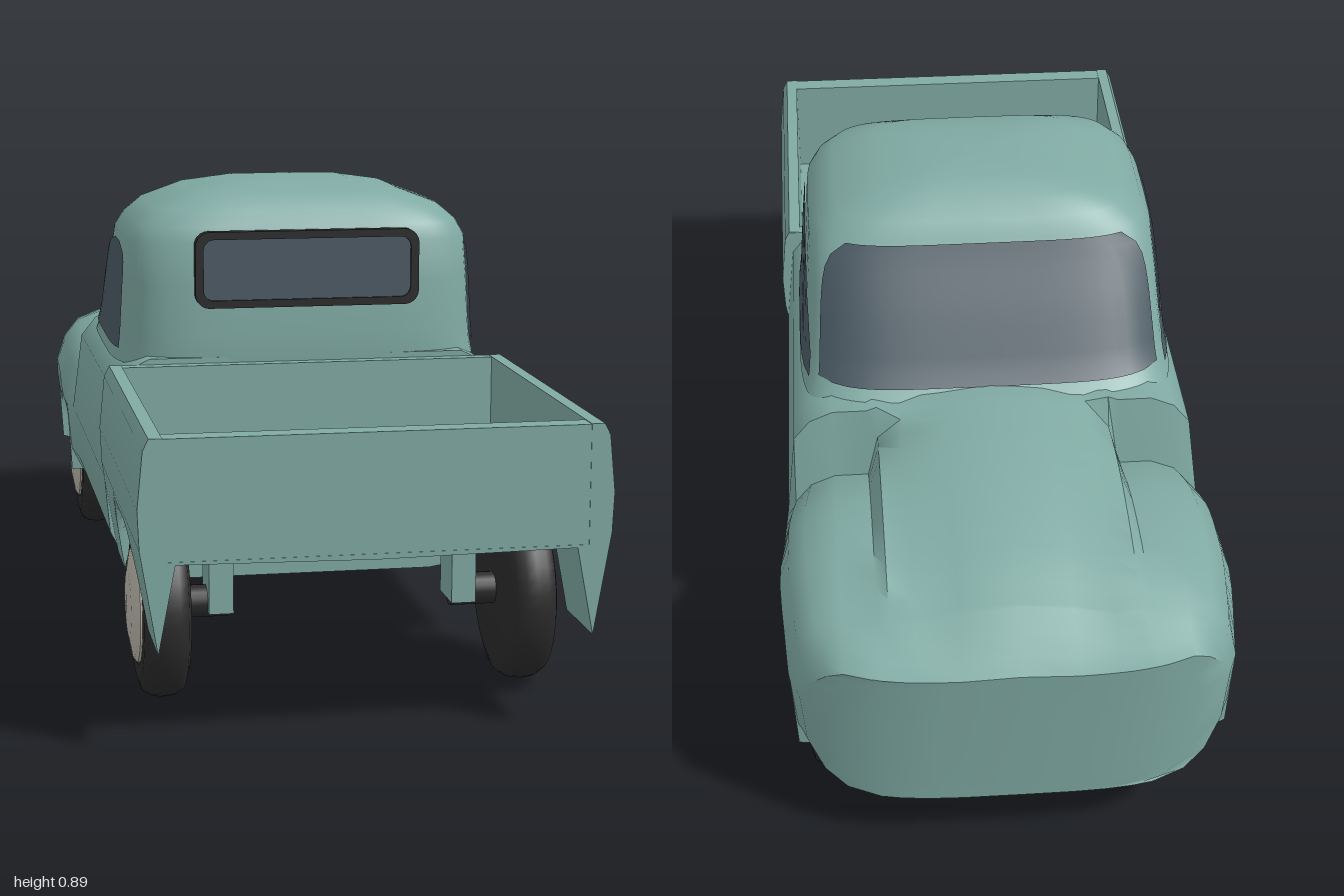
import * as THREE from 'three';
import { toCreasedNormals } from 'three/addons/utils/BufferGeometryUtils.js';

const mat = (name, color, side = THREE.FrontSide) =>
  Object.assign(new THREE.MeshStandardMaterial({ color, side }), { name });

// piecewise linear lookup in rows of [t, ...values], t ascending
function lookup(rows, t) {
  let i = 1;
  while (i < rows.length - 1 && rows[i][0] < t) i++;
  const [a, b] = [rows[i - 1], rows[i]];
  const k = THREE.MathUtils.clamp((t - a[0]) / (b[0] - a[0]), 0, 1);
  return a.slice(1).map((v, j) => v + (b[j + 1] - v) * k);
}

// skin over rows of [x, y, z] points; optional flat caps on first and last ring (in xy)
function skin(rows, { closed = true, capStart = false, capEnd = false, crease = 0.6 } = {}) {
  const n = rows[0].length, index = [];
  for (let i = 0; i < rows.length - 1; i++)
    for (let j = 0; j < (closed ? n : n - 1); j++) {
      const a = i * n + j, b = i * n + ((j + 1) % n);
      index.push(a, b, a + n, b, b + n, a + n);
    }
  const cap = (r, sign) => {
    const p = rows[r].map(([x, y]) => new THREE.Vector2(x, y));
    for (const [a, b, c] of THREE.ShapeUtils.triangulateShape(p, [])) {
      const ccw = THREE.ShapeUtils.area([p[a], p[b], p[c]]) * sign > 0;
      index.push(...(ccw ? [a, b, c] : [a, c, b]).map((v) => v + r * n));
    }
  };
  if (capStart) cap(0, 1);
  if (capEnd) cap(rows.length - 1, -1);
  const g = new THREE.BufferGeometry();
  g.setAttribute('position', new THREE.Float32BufferAttribute(rows.flat(2), 3));
  g.setIndex(index);
  return toCreasedNormals(g, crease);
}

// full ring from a half outline that starts and ends on the centre line
const mirrorRing = (half) =>
  [...half, ...half.slice(1, -1).reverse().map(([x, y, z]) => [-x, y, z])];

const range = (n, f) => Array.from({ length: n + 1 }, (_, i) => f(i / n));
const FRONT_AXLE = -0.68, REAR_AXLE = 0.645, ARCH = 0.2, AXLE_Y = 0.17;
const archY = (d) => AXLE_Y + Math.sqrt(Math.max(0, ARCH * ARCH - d * d));

// hood height, fender height and half width against distance forward (-z)
const HOOD = [[-0.31, 0.56], [0.2, 0.56], [0.3, 0.575], [0.37, 0.59], [0.5, 0.585], [0.6, 0.574],
  [0.7, 0.555], [0.8, 0.53], [0.88, 0.5], [0.95, 0.465], [1, 0.44]];
const FENDER = [[-0.31, 0.56], [0.365, 0.56], [0.39, 0.425], [0.45, 0.455], [0.52, 0.48],
  [0.6, 0.495], [0.7, 0.5], [0.8, 0.49], [0.9, 0.465], [1, 0.435]];
const WIDTH = [[-0.31, 0.4], [0.37, 0.405], [0.55, 0.42], [0.7, 0.42], [0.9, 0.405], [1, 0.39]];

function bodySection(z, inArch, squeeze = 1) {
  const [H] = lookup(HOOD, -z), [F] = lookup(FENDER, -z), [W] = lookup(WIDTH, -z);
  const yb = archY(z - FRONT_AXLE);
  const half = [[0, H], [0.1, Math.max(F, H - 0.01)], [0.18, Math.max(F, H - 0.035)],
    [0.225, Math.max(F, H * 0.6 + F * 0.4 - 0.01)], [0.245, F], [0.31, F],
    [W - 0.05, F - 0.02], [W - 0.018, F - 0.06],
    ...(inArch
      ? [[W, Math.max(0.33, yb + 0.02)], [W - 0.01, yb], [0.28, yb], [0.27, 0.14]]
      : [[W, 0.33], [W - 0.01, 0.22], [W - 0.04, 0.16], [0.31, 0.13]]),
    [0.25, 0.12], [0, 0.12]];
  // the nose sweeps back towards its corners and its lower edge
  const t = THREE.MathUtils.clamp((-z - 0.85) / 0.15, 0, 1);
  return mirrorRing(half.map(([x, y]) => {
    const sx = x * squeeze;
    return [sx, y, z + t * (0.1 * (sx / 0.4) ** 4 + 0.03 * (0.44 - y) / 0.32)];
  }));
}

function bedSection(z) {
  const yb = Math.max(0.18, Math.min(0.345, archY(z - REAR_AXLE)));
  return mirrorRing([[0, 0.34], [0.365, 0.34], [0.365, 0.55], [0.388, 0.55], [0.398, 0.53],
    [0.408, 0.43], [0.405, 0.36], [0.375 + (yb - 0.18) * 0.17, yb], [0.345, 0.335], [0, 0.33]]
    .map(([x, y]) => [x, y, z]));
}

// cab upper: height, half width, front z, back z
const CAB = [[0.54, 0.37, -0.37, 0.31], [0.57, 0.362, -0.335, 0.312], [0.6, 0.358, -0.305, 0.312],
  [0.7, 0.35, -0.235, 0.308], [0.78, 0.342, -0.175, 0.3], [0.81, 0.325, -0.155, 0.29],
  [0.84, 0.29, -0.135, 0.272], [0.87, 0.21, -0.1, 0.22], [0.885, 0.12, -0.04, 0.15],
  [0.893, 0, 0.05, 0.05]];
const POW = 5;
const cabAt = (y) => {
  const [a, zf, zb] = lookup(CAB, y);
  return { a, c: (zf + zb) / 2, b: (zb - zf) / 2 };
};
const bulge = (t) => Math.pow(Math.max(0, 1 - Math.abs(t) ** POW), 1 / POW);
const bend = (t) => Math.sign(t) * Math.abs(t) ** (2 / POW);

function roundedRect(w, h, r) {
  const s = new THREE.Shape(), x = w / 2, y = h / 2;
  s.absarc(x - r, y - r, r, 0, Math.PI / 2);
  s.absarc(-x + r, y - r, r, Math.PI / 2, Math.PI);
  s.absarc(-x + r, -y + r, r, Math.PI, Math.PI * 1.5);
  s.absarc(x - r, -y + r, r, Math.PI * 1.5, Math.PI * 2);
  return s;
}

export function createModel() {
  const paint = mat('body paint', 0x80aaa3);
  const glass = mat('window glass', 0x4b5a64, THREE.DoubleSide);
  const rubber = mat('black rubber', 0x2b2b2b);
  const cream = mat('cream hubcap', 0xbab7aa);
  const model = new THREE.Group();
  model.name = 'pickupTruck';
  const add = (name, geometry, material, x = 0, y = 0, z = 0) => {
    const m = new THREE.Mesh(geometry, material);
    m.name = name;
    m.position.set(x, y, z);
    model.add(m);
    return m;
  };

  // lower body, hood and fenders with open wheel arches
  const rings = [0.31, 0, -0.2, -0.3, -0.365, -0.39, -0.43, -0.478].map((z) => bodySection(z, false));
  rings.push(...range(14, (k) => bodySection(FRONT_AXLE + ARCH * Math.cos(Math.PI * k), true)));
  rings.push(...[-0.882, -0.92, -0.96, -1].map((z) => bodySection(z, false)));
  rings.push(...[0.85, 0.65, 0.4, 0].map((s) => bodySection(-1, false, s)));
  add('lowerBody', skin(rings, { capStart: true, crease: 0.75 }), paint);

  // cab roof and pillars
  add('cabRoof', skin(CAB.map(([y]) => {
    const { a, b, c } = cabAt(y);
    return range(63, (k) => {
      const th = k * 63 / 64 * Math.PI * 2;
      return [a * bend(Math.cos(th)), y, c - b * bend(Math.sin(th))];
    });
  }), { crease: 0.9 }), paint);

  // windshield follows the front of the cab
  add('windshield', skin(range(10, (v) => {
    const y = 0.58 + v * 0.225, { a, b, c } = cabAt(y);
    const s = 0.925 - 0.1 * v ** 8;
    return range(24, (u) => {
      const t = (1 - 2 * u) * s;
      return [a * t, y, c - b * bulge(t) - 0.006];
    });
  }), { closed: false }), glass);

  // side windows: height, front z, back z
  const WINDOW = [[0.565, -0.25, 0.2], [0.66, -0.165, 0.2], [0.73, -0.09, 0.2],
    [0.755, -0.04, 0.185], [0.77, 0.05, 0.13]];
  for (const side of [1, -1])
    add(side > 0 ? 'leftWindow' : 'rightWindow', skin(range(12, (v) => {
      const y = 0.565 + v * 0.205, { a, b, c } = cabAt(y), [z0, z1] = lookup(WINDOW, y);
      return range(12, (u) => {
        const z = side > 0 ? z1 + (z0 - z1) * u : z0 + (z1 - z0) * u;
        return [side * (a * bulge((z - c) / b) + 0.005), y, z];
      });
    }), { closed: false }), glass);

  // rear window in its rubber frame
  const frame = roundedRect(0.44, 0.148, 0.028);
  frame.holes.push(roundedRect(0.408, 0.118, 0.02));
  add('rearWindowFrame', new THREE.ExtrudeGeometry(frame, { depth: 0.022, bevelEnabled: false }),
    rubber, 0, 0.731, 0.298);
  add('rearWindow', new THREE.ShapeGeometry(roundedRect(0.41, 0.12, 0.02)), glass, 0, 0.731, 0.315);

  // cargo bed with arched sides, tailgate and front wall
  const bedZ = [1, 0.9, ...range(16, (k) => REAR_AXLE + ARCH * Math.cos(Math.PI * k)), 0.4, 0.311];
  add('cargoBed', skin(bedZ.map(bedSection), { capStart: true, capEnd: true }), paint);
  add('tailgate', new THREE.BoxGeometry(0.775, 0.212, 0.04), paint, 0, 0.443, 0.979);
  add('bedFrontWall', new THREE.BoxGeometry(0.775, 0.21, 0.025), paint, 0, 0.444, 0.322);

  // rear suspension posts and axle stubs
  for (const s of [1, -1]) {
    add('suspensionPost', new THREE.BoxGeometry(0.045, 0.185, 0.09), paint, s * 0.225, 0.248, REAR_AXLE);
    add('axleStub', new THREE.CylinderGeometry(0.03, 0.03, 0.1, 16).rotateZ(Math.PI / 2),
      rubber, s * 0.258, AXLE_Y, REAR_AXLE);
  }

  // wheels
  const lathe = (pts) => toCreasedNormals(
    new THREE.LatheGeometry(pts.map(([r, y]) => new THREE.Vector2(r, y)), 40), 0.7);
  const tyre = lathe([[0, -0.042], [0.14, -0.042], [0.158, -0.036], [0.168, -0.02], [0.17, 0],
    [0.168, 0.02], [0.158, 0.036], [0.14, 0.042], [0.11, 0.042], [0.105, 0.036], [0, 0.036]]);
  const hub = lathe([[0.107, 0.035], [0.106, 0.045], [0.098, 0.05], [0.06, 0.057], [0, 0.06]]);
  for (const z of [FRONT_AXLE, REAR_AXLE])
    for (const s of [1, -1]) {
      const place = z < 0 ? 'front' : 'rear';
      for (const [name, g, m] of [['Tyre', tyre, rubber], ['Hubcap', hub, cream]])
        add(place + name, g, m, s * 0.333, AXLE_Y, z).rotation.z = -s * Math.PI / 2;
    }
  return model;
}
